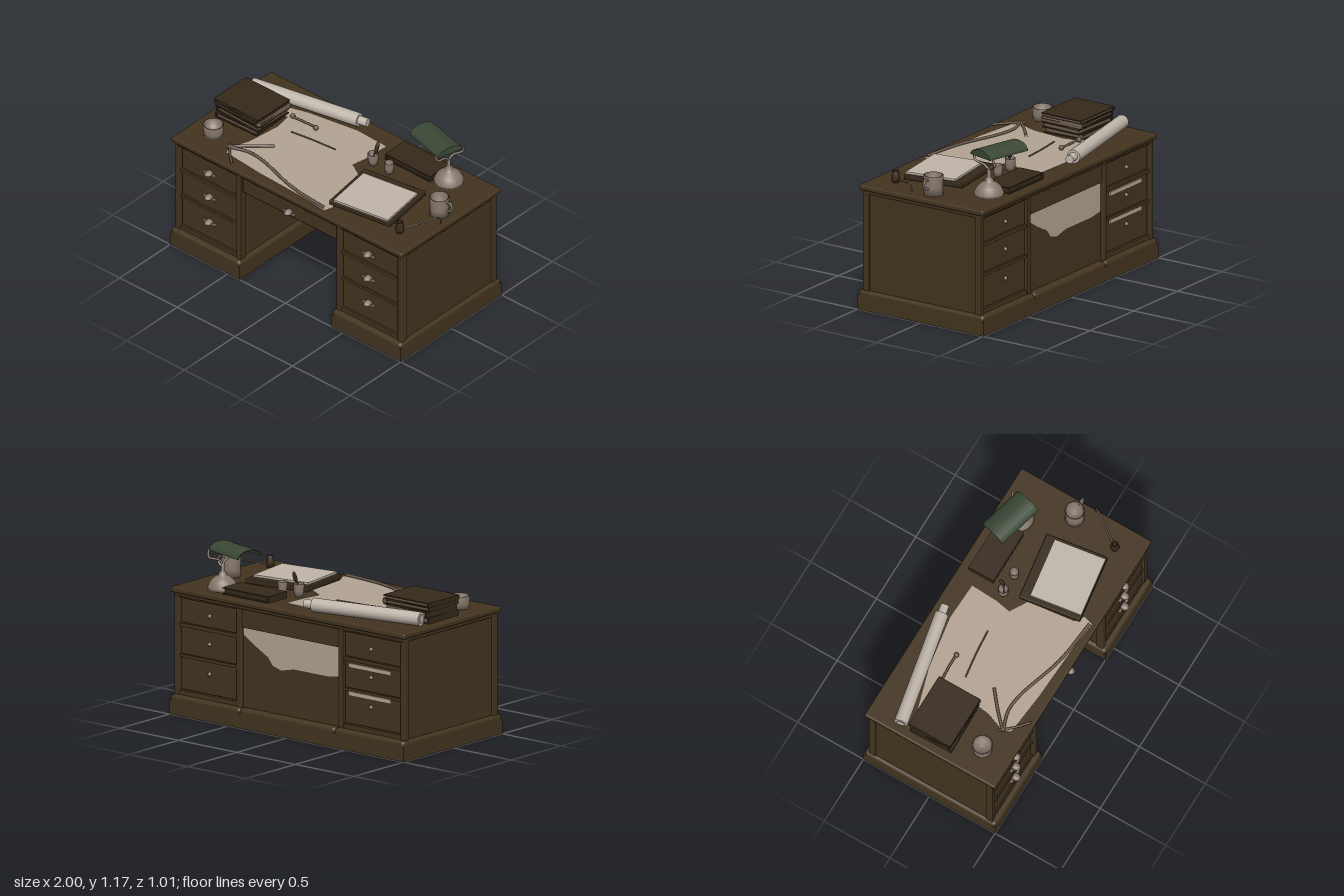
import * as THREE from 'three';
import { RoundedBoxGeometry } from 'three/addons/geometries/RoundedBoxGeometry.js';

const mat = (name, color, side = THREE.FrontSide) => {
  const m = new THREE.MeshStandardMaterial({ color, side });
  m.name = name;
  return m;
};
const V = (x, y, z) => new THREE.Vector3(x, y, z);

export function createModel() {
  const root = new THREE.Group();
  root.name = 'writingDesk';
  const wood = mat('dark wood', 0x43341f);
  const leather = mat('dark leather', 0x35291a);
  const paper = mat('parchment', 0xb3a393);
  const roll = mat('pale paper', 0xbfb5aa);
  const metal = mat('dull pewter', 0x85776b, THREE.DoubleSide);
  const stem = mat('tan wood', 0x6a5a4b);
  const green = mat('green glass', 0x3a4835, THREE.DoubleSide);

  const group = (name, parent = root) => {
    const g = new THREE.Group();
    g.name = name;
    parent.add(g);
    return g;
  };
  const add = (name, geo, m, x = 0, y = 0, z = 0, parent = root) => {
    const mesh = new THREE.Mesh(geo, m);
    mesh.name = name;
    mesh.position.set(x, y, z);
    parent.add(mesh);
    return mesh;
  };
  // box given by its limits on each axis
  const span = (name, [x0, x1], [y0, y1], [z0, z1], m = wood, r = 0, parent = root) => {
    const s = [x1 - x0, y1 - y0, z1 - z0];
    const geo = r ? new RoundedBoxGeometry(...s, 3, r) : new THREE.BoxGeometry(...s);
    return add(name, geo, m, (x0 + x1) / 2, (y0 + y1) / 2, (z0 + z1) / 2, parent);
  };
  const tube = (name, pts, r, m, parent = root) =>
    add(name, new THREE.TubeGeometry(new THREE.CatmullRomCurve3(pts), 24, r, 8), m, 0, 0, 0, parent);
  const lathe = (name, pts, m, x, y, z, parent = root) =>
    add(name, new THREE.LatheGeometry(pts.map(p => new THREE.Vector2(...p)), 24), m, x, y, z, parent);
  const mirror = ([a, b], s) => (s > 0 ? [a, b] : [-b, -a]);

  // Pedestals with plinth, corner posts, rails and drawers on both faces
  const rows = [[0.17, 0.385], [0.41, 0.59], [0.62, 0.78]];
  const handleY = [0.31, 0.51, 0.70];
  const cupShape = [[0.012, 0.016], [0.02, 0.012], [0.03, 0.004], [0.052, -0.004]];
  const handle = (x, y) => {
    const g = group('drawerHandle');
    g.position.set(x, y, 0.455);
    const cup = add('cup', new THREE.SphereGeometry(0.028, 16, 8, 0, Math.PI * 2, 0, Math.PI / 2), metal, 0, -0.006, 0.014, g);
    cup.scale.set(1, 0.9, 1.3);
    cupShape.forEach(([w, h], i) => i > 1 && add('backPlate', new THREE.BoxGeometry(w * 2, 0.012, 0.02), metal, 0, h - 0.006, 0.008, g));
  };
  for (const s of [-1, 1]) {
    const g = group(s > 0 ? 'leftPedestal' : 'rightPedestal');
    span('plinth', mirror([0.4, 1], s), [0, 0.1], [-0.5, 0.5], wood, 0, g);
    span('plinthMoulding', mirror([0.4, 1], s), [0.05, 0.135], [-0.5, 0.5], wood, 0.025, g);
    span('carcass', mirror([0.43, 0.975], s), [0.13, 0.82], [-0.435, 0.435], wood, 0, g);
    for (const f of [-1, 1]) {
      for (const p of [[0.415, 0.455], [0.945, 0.985]])
        span('cornerPost', mirror(p, s), [0.13, 0.82], mirror([0.42, 0.47], f), wood, 0.006, g);
      for (const r of [[0.13, 0.165], [0.388, 0.408], [0.593, 0.617], [0.785, 0.82]])
        span('rail', mirror([0.45, 0.95], s), r, mirror([0.42, 0.462], f), wood, 0, g);
      rows.forEach((r, i) => {
        span('drawer', mirror([0.462, 0.938], s), r, mirror([0.42, 0.456], f), wood, 0.008, g);
        if (f > 0) handle(s * 0.69, handleY[i]);
        else add('backKnob', new THREE.SphereGeometry(0.014, 12, 8), metal, s * 0.69, handleY[i], -0.46, g);
      });
    }
  }
  for (const y of [0.565, 0.375])
    span('paleStrip', [-0.86, -0.5], [y - 0.014, y + 0.014], [-0.465, -0.456], paper);

  // Kneehole: aprons, back panel and low back plinth
  span('frontApron', [-0.42, 0.42], [0.67, 0.82], [0.41, 0.45]);
  span('frontDrawer', [-0.41, 0.41], [0.675, 0.79], [0.43, 0.458], wood, 0.008);
  handle(0, 0.715);
  span('backApron', [-0.42, 0.42], [0.67, 0.82], [-0.46, -0.42]);
  span('backPanel', [-0.43, 0.43], [0.13, 0.7], [-0.445, -0.43]);
  span('backPlinth', [-0.41, 0.41], [0, 0.1], [-0.5, -0.43]);
  span('backPlinthMoulding', [-0.41, 0.41], [0.05, 0.135], [-0.5, -0.43], wood, 0.025);
  const flat = (pts, depth) => new THREE.ExtrudeGeometry(
    new THREE.Shape(pts.map(p => new THREE.Vector2(...p))), { depth, bevelEnabled: false });
  const patch = flat([[-0.41, 0.67], [-0.41, 0.47], [-0.31, 0.455], [-0.02, 0.455], [0.09, 0.43],
    [0.16, 0.45], [0.2, 0.5], [0.33, 0.57], [0.41, 0.62], [0.41, 0.67]], 0.004);
  add('frontPanelPatch', patch, paper, 0, 0, -0.431);
  add('backPanelPatch', patch, paper, 0, 0, -0.448);

  // Desk top
  span('topMoulding', [-0.985, 0.985], [0.795, 0.825], [-0.475, 0.475], wood, 0.012);
  span('deskTop', [-1, 1], [0.82, 0.857], [-0.495, 0.495], wood, 0.012);

  // Large sheet on the desk (shape drawn as x, -z)
  const sheet = add('mapSheet', flat([[-0.8, 0.21], [-0.5, 0.3], [-0.13, 0.36], [0.13, 0.35], [0.12, 0.155],
    [0.1, 0.05], [0.22, -0.02], [0.26, -0.35], [0.32, -0.39], [0.3, -0.46], [0.14, -0.44], [-0.3, -0.42],
    [-0.61, -0.39], [-0.63, -0.33], [-0.58, -0.2], [-0.55, 0.05], [-0.57, 0.17]].reverse(), 0.004), paper, 0, 0.857, 0);
  sheet.rotation.x = -Math.PI / 2;

  // Rolled sheets
  const scroll = group('scroll');
  scroll.position.set(-0.53, 0.906, -0.335);
  scroll.rotation.y = 0.2;
  const alongX = (name, r, len, x, m) => {
    add(name, new THREE.CylinderGeometry(r, r, len, 20), m, x, 0, 0, scroll).rotation.z = Math.PI / 2;
  };
  alongX('outerRoll', 0.046, 0.8, -0.02, roll);
  alongX('innerRoll', 0.029, 0.87, 0.01, roll);

  // Books: two covers around a page block, with a spine
  const book = (x, y, z, w, h, d, turn, pages = paper) => {
    const g = group('book');
    g.position.set(x, y, z);
    g.rotation.y = turn;
    const c = 0.007;
    for (const cy of [c / 2, h - c / 2]) add('cover', new THREE.BoxGeometry(w, c, d), leather, 0, cy, 0, g);
    add('pages', new THREE.BoxGeometry(w - 0.02, h - 2 * c, d - 0.02), pages, 0, h / 2, 0, g);
    add('spine', new THREE.BoxGeometry(0.012, h, d), leather, -w / 2 + 0.006, h / 2, 0, g);
  };
  book(-0.765, 0.857, -0.03, 0.35, 0.04, 0.31, 0.03, stem);
  book(-0.75, 0.897, -0.03, 0.37, 0.038, 0.3, -0.03, stem);
  book(-0.75, 0.937, -0.03, 0.39, 0.03, 0.3, 0.02, stem);
  book(-0.755, 0.969, -0.03, 0.385, 0.029, 0.315, 0, stem);
  span('bookClasp', [-0.585, -0.555], [0.94, 0.975], [-0.19, 0.13], stem, 0.01);
  book(0.41, 0.857, -0.335, 0.39, 0.045, 0.19, 0, leather);

  // Writing board with a pad of paper
  const board = group('writingBoard');
  board.position.set(0.478, 0.857, 0.135);
  board.rotation.y = 0.148;
  add('board', new RoundedBoxGeometry(0.475, 0.034, 0.43, 2, 0.006), leather, 0, 0.017, 0, board);
  add('pad', new THREE.BoxGeometry(0.42, 0.016, 0.36), roll, 0.005, 0.04, 0.03, board);

  // Vessels
  const vessel = (name, r, h, x, z, foot = 1) => lathe(name, [[0, 0], [r * foot, 0], [r * 0.95, h * 0.4], [r, h],
    [r * 0.86, h], [r * 0.8, h * 0.3], [0, h * 0.2]], metal, x, 0.857, z);
  vessel('bowlCup', 0.07, 0.085, -0.81, 0.29, 0.9);
  vessel('mug', 0.066, 0.132, 0.88, -0.02);
  tube('mugHandle', [V(0.935, 0.965, -0.02), V(0.975, 0.975, -0.02), V(0.99, 0.945, -0.02), V(0.97, 0.915, -0.02),
    V(0.935, 0.905, -0.02)], 0.008, metal);
  vessel('penCup', 0.036, 0.085, 0.19, -0.15, 0.7);
  vessel('inkPot', 0.032, 0.078, 0.33, -0.15, 0.8);
  tube('penShaft', [V(0.185, 0.875, -0.14), V(0.2, 0.95, -0.155), V(0.21, 1.01, -0.175)], 0.005, stem);
  const quill = add('penFeather', new THREE.SphereGeometry(0.04, 10, 8), leather, 0.208, 0.985, -0.168);
  quill.scale.set(0.35, 1.15, 0.35);
  quill.rotation.x = -0.35;

  // Smoking pipe
  lathe('pipeBowl', [[0, 0], [0.022, 0.004], [0.03, 0.03], [0.022, 0.085], [0.015, 0.085], [0.014, 0.03], [0, 0.03]],
    leather, 0.83, 0.857, 0.315);
  tube('pipeStem', [V(0.835, 0.875, 0.3), V(0.88, 0.9, 0.25), V(0.94, 0.92, 0.16), V(0.98, 0.925, 0.09),
    V(0.982, 0.88, 0.08)], 0.006, stem);

  // Forked twig, pen and small key-like tool lying on the sheet
  const Y = 0.872;
  tube('twigMain', [V(-0.64, Y, 0.345), V(-0.5, Y, 0.3), V(-0.37, Y, 0.31), V(-0.02, Y, 0.41), V(0.29, Y, 0.445)], 0.01, stem);
  tube('twigBranch', [V(-0.64, Y, 0.345), V(-0.53, Y, 0.24), V(-0.41, Y, 0.14)], 0.01, stem);
  tube('twigSide', [V(-0.65, Y, 0.31), V(-0.58, Y, 0.39), V(-0.49, Y, 0.47)], 0.008, stem);
  tube('pen', [V(-0.44, 0.867, -0.06), V(-0.26, 0.867, -0.085), V(-0.09, 0.867, -0.1)], 0.005, stem);
  tube('toolShaft', [V(-0.54, 0.878, -0.18), V(-0.44, 0.878, -0.188), V(-0.34, 0.878, -0.19)], 0.008, stem);
  for (const x of [-0.54, -0.34]) add('toolKnob', new THREE.SphereGeometry(0.018, 12, 8), stem, x, 0.877, -0.188);

  // Desk lamp: domed foot, forked stem and green shade
  const lamp = group('deskLamp');
  lathe('lampFoot', [[0, 0], [0.096, 0], [0.1, 0.02], [0.08, 0.06], [0.045, 0.09], [0.028, 0.095], [0.028, 0.11],
    [0.012, 0.125], [0.012, 0.18], [0, 0.185]], metal, 0.69, 0.857, -0.33, lamp);
  const fork = V(0.69, 1.03, -0.33);
  tube('lampArm', [fork, V(0.69, 1.06, -0.29), V(0.69, 1.08, -0.22), V(0.68, 1.13, -0.205)], 0.008, metal, lamp);
  tube('lampArm', [fork, V(0.7, 1.06, -0.36), V(0.74, 1.08, -0.41), V(0.75, 1.13, -0.4)], 0.008, metal, lamp);
  const shade = group('lampShade', lamp);
  shade.position.set(0.578, 1.12, -0.333);
  shade.rotation.y = -0.25;
  const arc = (a0, a1, k) => Array.from({ length: 13 }, (_, i) => {
    const a = a0 + (a1 - a0) * i / 12;
    return [0.097 * k * Math.cos(a), 0.053 * k * Math.sin(a)];
  });
  const shell = add('glass', flat([...arc(0, Math.PI, 1), ...arc(Math.PI, 0, 0.92)], 0.33), green, -0.165, 0, 0, shade);
  shell.rotation.y = Math.PI / 2;
  const end = add('shadeEnd', flat(arc(0, Math.PI, 0.97), 0.006), green, 0.157, 0, 0, shade);
  end.rotation.y = Math.PI / 2;
  const bulb = add('bulb', new THREE.SphereGeometry(0.025, 12, 8), metal, 0.1, 0.01, 0, shade);
  bulb.scale.x = 1.8;

  return root;
}
